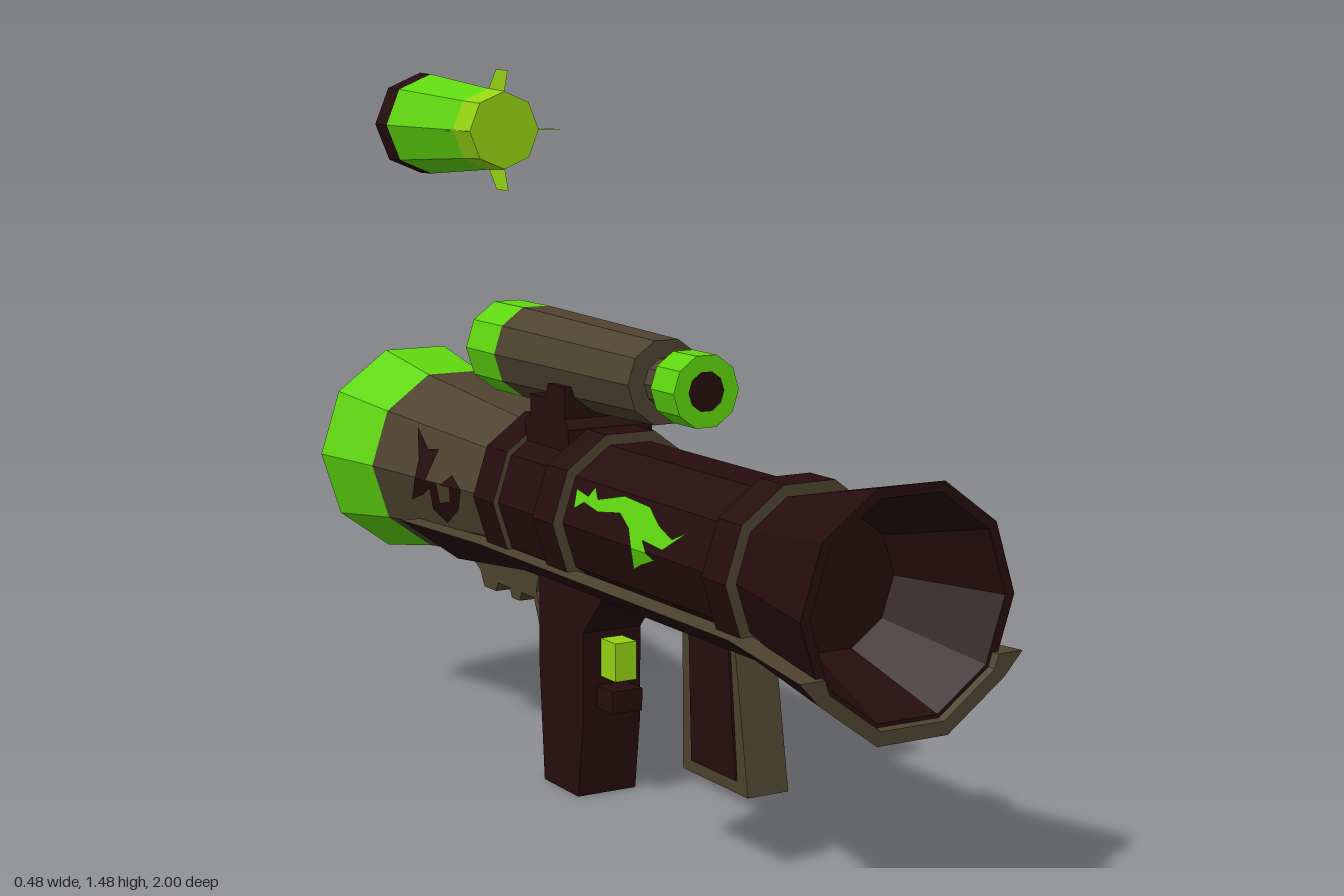
import * as THREE from 'three';

const mat = (name, color, side = THREE.FrontSide) =>
  new THREE.MeshStandardMaterial({ name, color, side, flatShading: true });

export function createModel() {
  const dark = mat('dark maroon', 0x260d0e);
  const brown = mat('olive brown', 0x4e432f);
  const green = mat('bright green', 0x5fd60f, THREE.DoubleSide);
  const lime = mat('lime', 0x94d412, THREE.DoubleSide);
  const darkSheet = dark;
  darkSheet.side = THREE.DoubleSide;

  const model = new THREE.Group();
  model.name = 'rocketLauncher';
  const add = (name, geo, material, parent = model) => {
    const m = new THREE.Mesh(geo, material);
    m.name = name;
    parent.add(m);
    return m;
  };
  const group = (name) => {
    const g = new THREE.Group();
    g.name = name;
    model.add(g);
    return g;
  };

  // Turned part along z: profile of [radius, z], z rising on the outside
  const turned = (name, profile, y, sides, material, parent) => {
    const pts = profile.map(([r, z]) => new THREE.Vector2(r, z));
    const geo = new THREE.LatheGeometry(pts, sides, Math.PI / 2).rotateX(Math.PI / 2).translate(0, y, 0);
    return add(name, geo, material, parent);
  };
  const shapeOf = (pts) => new THREE.Shape(pts.map(([a, b]) => new THREE.Vector2(a, b)));
  // Side outline of [z, y] points, given a width in x
  const slab = (name, pts, width, material, parent) => {
    const geo = new THREE.ExtrudeGeometry(shapeOf(pts), { depth: width, bevelEnabled: false });
    geo.translate(0, 0, -width / 2).rotateY(-Math.PI / 2);
    return add(name, geo, material, parent);
  };
  const box = (name, w, y0, y1, z0, z1, material, parent) =>
    slab(name, [[z0, y0], [z1, y0], [z1, y1], [z0, y1]], w, material, parent);

  // Barrel
  const Y = 0.6;
  const barrel = group('barrel');
  turned('barrelTube', [[0.155, -0.3], [0.155, 0.68], [0.225, 0.985], [0.205, 0.985], [0.13, 0.76], [0, 0.76]],
    Y, 10, dark, barrel);
  turned('rearCone', [[0.205, -0.74], [0.155, -0.29]], Y, 10, brown, barrel);
  turned('rearRim', [[0.12, -0.84], [0.185, -0.94], [0.24, -0.94], [0.205, -0.74]], Y, 10, green, barrel);
  turned('exhaustDisc', [[0, -0.84], [0.122, -0.84]], Y, 10, dark, barrel);
  turned('middleCollar', [[0.166, -0.22], [0.166, -0.03]], Y, 10, dark, barrel);
  // Raised rings with brown end faces
  for (const [z0, z1] of [[0.6, 0.68], [-0.04, 0.045], [-0.3, -0.21]]) {
    turned('ring', [[0.178, z0], [0.178, z1]], Y, 10, dark, barrel);
    turned('ringBackFace', [[0.14, z0], [0.178, z0]], Y, 10, brown, barrel);
    turned('ringFrontFace', [[0.178, z1], [0.14, z1]], Y, 10, brown, barrel);
  }

  // Under-barrel cradle: flaring half shell, dark outside, brown edges and inside
  const section = ([z, R]) => {
    const half = (r, lip) => [
      [r - 0.0325 + lip, -0.1],
      [0.809 * r, Math.min(-0.588 * r, -0.1)],
      [0.309 * r, -0.951 * r],
    ];
    const ring = (r, lip) => {
      const h = half(r, lip);
      return [...h.map(([x, y]) => [-x, y]), ...[...h].reverse()].map(([x, y]) => [x, y + Y, z]);
    };
    return [...ring(R, 0.025), ...ring(R - 0.027, 0).reverse()];
  };
  const rows = [[-0.6, 0.21], [-0.3, 0.18], [0.68, 0.18], [1, 0.242]].map(section);
  const outer = [], inner = [];
  const quad = (out, a, b, c, d) => out.push(...a, ...b, ...c, ...a, ...c, ...d);
  for (let k = 0; k < rows.length - 1; k++) {
    for (let i = 0; i < 12; i++) {
      const j = (i + 1) % 12;
      quad(i < 5 ? outer : inner, rows[k][i], rows[k][j], rows[k + 1][j], rows[k + 1][i]);
    }
  }
  for (let i = 0; i < 5; i++) {
    const f = rows[3], b = rows[0];
    quad(inner, f[i], f[i + 1], f[10 - i], f[11 - i]);
    quad(inner, b[11 - i], b[10 - i], b[i + 1], b[i]);
  }
  const cradle = group('cradle');
  const fromTriangles = (list) => {
    const geo = new THREE.BufferGeometry();
    geo.setAttribute('position', new THREE.Float32BufferAttribute(list, 3));
    geo.computeVertexNormals();
    return geo;
  };
  add('cradleOutside', fromTriangles(outer), dark, cradle);
  add('cradleEdge', fromTriangles(inner), brown, cradle);

  // Scope
  const S = 0.888;
  const scope = group('scope');
  turned('eyepiece', [[0.04, 0.245], [0.073, 0.245], [0.073, 0.33], [0.04, 0.33]], S, 10, green, scope);
  turned('eyepieceLens', [[0.041, 0.328], [0, 0.328]], S, 10, dark, scope);
  turned('scopeNeck', [[0.05, 0.17], [0.05, 0.25]], S, 10, brown, scope);
  turned('scopeBody', [[0.1, -0.35], [0.087, 0.183], [0, 0.183]], S, 10, brown, scope);
  turned('scopeFrontRim', [[0.04, -0.46], [0.055, -0.48], [0.1, -0.48], [0.1, -0.35]], S, 10, green, scope);
  turned('scopeLens', [[0, -0.46], [0.042, -0.46]], S, 10, dark, scope);
  slab('scopeMount', [[-0.035, 0.72], [-0.22, 0.72], [-0.22, 0.77], [-0.195, 0.78], [-0.195, 0.825],
    [-0.13, 0.825], [-0.12, 0.855], [-0.05, 0.855], [-0.05, 0.79], [-0.035, 0.77]], 0.195, dark, scope);

  // Main grip, trigger and stop
  const grip = group('mainGrip');
  slab('gripBody', [[0.045, 0.43], [-0.03, 0.35], [-0.03, 0.16], [-0.05, 0], [-0.195, 0], [-0.215, 0.24],
    [-0.215, 0.47], [0.045, 0.47]], 0.136, dark, grip);
  box('trigger', 0.05, 0.255, 0.335, -0.04, 0.028, lime, grip);
  box('triggerStop', 0.07, 0.19, 0.237, -0.04, 0.034, dark, grip);

  // Front grip with dark side panels
  const foregrip = group('frontGrip');
  slab('frontGripFrame', [[0.505, 0.44], [0.555, 0.155], [0.325, 0.155], [0.32, 0.44]], 0.09, brown, foregrip);
  slab('frontGripPanels', [[0.49, 0.44], [0.518, 0.18], [0.362, 0.18], [0.35, 0.44]], 0.1, dark, foregrip);

  // Rear brace with finger notches
  slab('rearBrace', [[-0.21, 0.26], [-0.26, 0.255], [-0.31, 0.365], [-0.365, 0.365], [-0.375, 0.345],
    [-0.41, 0.345], [-0.42, 0.365], [-0.475, 0.365], [-0.485, 0.345], [-0.54, 0.345], [-0.56, 0.38],
    [-0.6, 0.4], [-0.6, 0.43], [-0.28, 0.44], [-0.3, 0.38], [-0.245, 0.285], [-0.21, 0.285]], 0.06, brown);

  // Painted side marks laid on the barrel facets, cut where two facets meet
  const decal = (name, pts, radiusAt, material) => {
    for (const side of [1, -1]) {
      const geo = new THREE.ShapeGeometry(shapeOf(pts));
      const p = geo.attributes.position;
      for (let i = 0; i < p.count; i++) {
        const z = p.getX(i), y = p.getY(i);
        const x = radiusAt(z) + 0.005 - Math.abs(y - Y) * Math.tan(Math.PI / 10);
        p.setXYZ(i, side * x, y, z);
      }
      geo.computeVertexNormals();
      add(name, geo, material);
    }
  };
  const tubeR = () => 0.155;
  const coneR = (z) => 0.155 + (-0.29 - z) * (0.05 / 0.45);
  decal('greenMarkUpper', [[0.496, 0.66], [0.448, 0.638], [0.394, 0.654], [0.346, 0.681], [0.249, 0.686],
    [0.158, 0.665], [0.137, 0.686], [0.12, 0.665], [0.07, 0.672], [0.078, 0.635], [0.11, 0.652], [0.169, 0.643],
    [0.249, 0.654], [0.292, 0.633], [0.319, 0.6], [0.375, 0.6], [0.351, 0.62], [0.426, 0.615]], tubeR, green);
  decal('greenMarkLower', [[0.375, 0.6], [0.319, 0.6], [0.306, 0.555], [0.34, 0.57], [0.4, 0.59]], tubeR, green);
  decal('darkMarkUpper', [[-0.515, 0.6], [-0.495, 0.67], [-0.535, 0.665], [-0.598, 0.705], [-0.56, 0.64],
    [-0.555, 0.6]], coneR, dark);
  decal('darkMarkHook', [[-0.375, 0.6], [-0.42, 0.625], [-0.455, 0.6]], coneR, dark);
  decal('darkMarkLower', [[-0.47, 0.6], [-0.555, 0.6], [-0.598, 0.545], [-0.54, 0.565], [-0.505, 0.585],
    [-0.518, 0.535], [-0.475, 0.51], [-0.41, 0.55], [-0.375, 0.6], [-0.42, 0.6], [-0.435, 0.565],
    [-0.48, 0.555]], coneR, dark);

  // Rocket flying above the rear end, nose toward -z
  const R = 1.347;
  const rocket = group('rocket');
  turned('noseTip', [[0, -1], [0.045, -0.99], [0.083, -0.95]], R, 8, dark, rocket);
  turned('noseCone', [[0.083, -0.95], [0.113, -0.895]], R, 8, lime, rocket);
  turned('noseBand', [[0.113, -0.895], [0.111, -0.84]], R, 8, dark, rocket);
  turned('rocketBody', [[0.111, -0.84], [0.087, -0.56]], R, 8, green, rocket);
  turned('tailBand', [[0.087, -0.56], [0.083, -0.487], [0, -0.487]], R, 8, lime, rocket);
  for (let i = 0; i < 4; i++) {
    const geo = new THREE.ShapeGeometry(shapeOf([[-0.487, 0.08], [-0.47, 0.128], [-0.525, 0.128], [-0.56, 0.085]]));
    geo.rotateY(-Math.PI / 2).rotateZ((i * Math.PI) / 2).translate(0, R, 0);
    add('tailFin', geo, lime, rocket);
  }

  return model;
}
